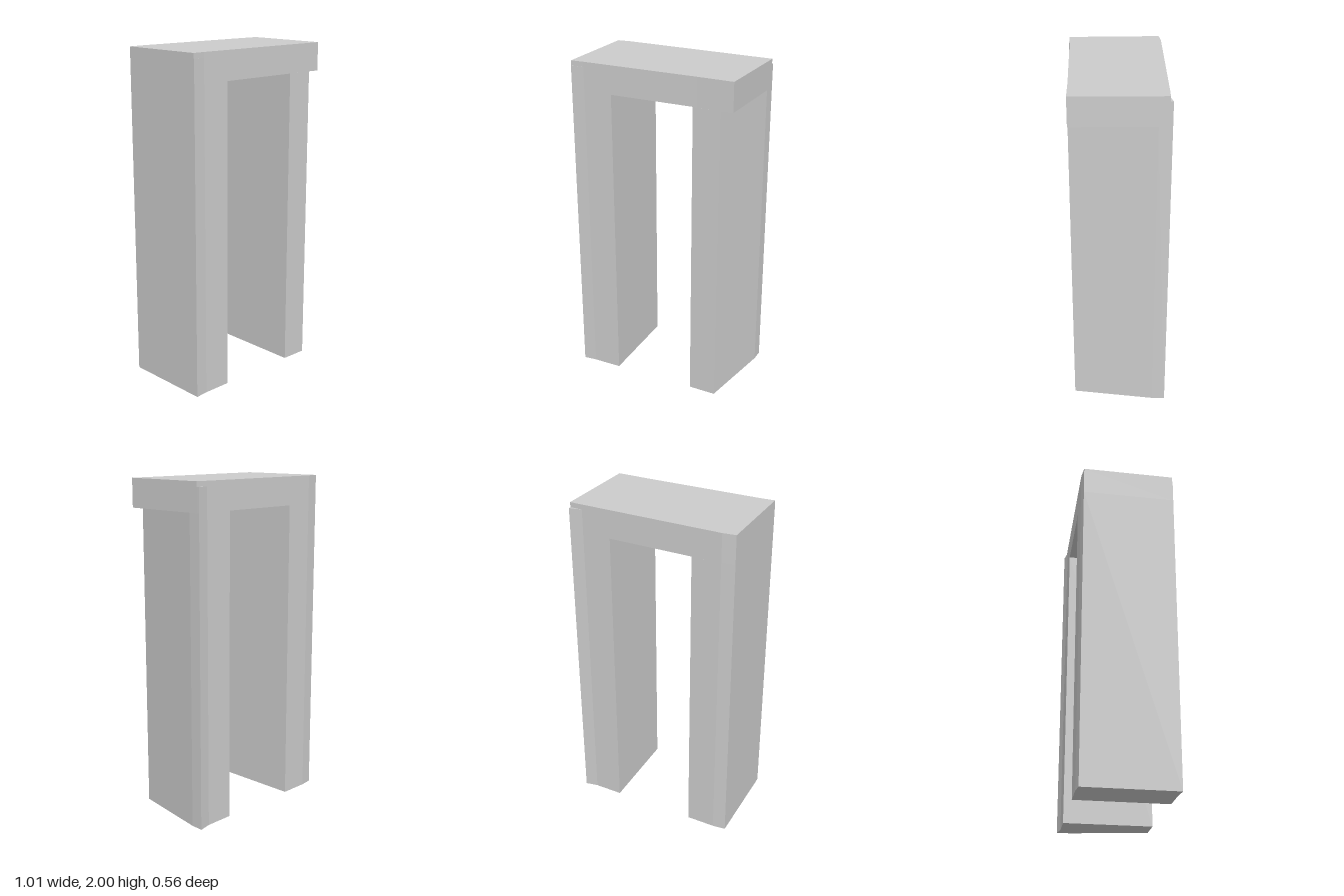
import * as THREE from 'three';

const material = new THREE.MeshStandardMaterial({ color: 0xcccccc, flatShading: true });

// Upright prism from a plan outline of [x, z] points
function prism(name, outline, bottom, top) {
  const shape = new THREE.Shape(outline.map(([x, z]) => new THREE.Vector2(x, -z)));
  const geometry = new THREE.ExtrudeGeometry(shape, { depth: top - bottom, bevelEnabled: false });
  geometry.rotateX(-Math.PI / 2).translate(0, bottom, 0);
  const mesh = new THREE.Mesh(geometry, material);
  mesh.name = name;
  return mesh;
}

export function createModel() {
  const group = new THREE.Group();
  group.name = 'stoneArch';
  const lintelBase = 1.83, cornerTop = 1.97;

  // Lintel with slightly skewed edges
  group.add(prism('lintel', [
    [-0.508, 0.275], [-0.43, 0.271], [0.28, 0.271], [0.495, 0.275],
    [0.506, -0.264], [0.43, -0.266], [-0.43, -0.281], [-0.508, -0.273],
  ], lintelBase, 2));

  // Left leg with shallow outer corner bends
  group.add(prism('leftwardPost', [
    [-0.508, 0.278], [-0.43, 0.271], [-0.255, 0.271],
    [-0.255, -0.278], [-0.43, -0.281], [-0.508, -0.273],
  ], 0, lintelBase));

  // Opposite leg, its outer side slanting in towards the front
  group.add(prism('slantedPost', [
    [0.255, 0.271], [0.42, 0.274], [0.504, -0.205], [0.506, -0.28],
    [0.43, -0.266], [0.255, -0.269],
  ], 0, lintelBase));

  // Thin post corners that run up past the lintel's underside
  group.add(prism('backCorner', [[0.43, -0.266], [0.506, -0.264], [0.506, -0.28]], lintelBase, cornerTop));
  group.add(prism('frontCorner', [[-0.508, 0.275], [-0.508, 0.278], [-0.43, 0.271]], lintelBase, cornerTop));

  return group;
}
